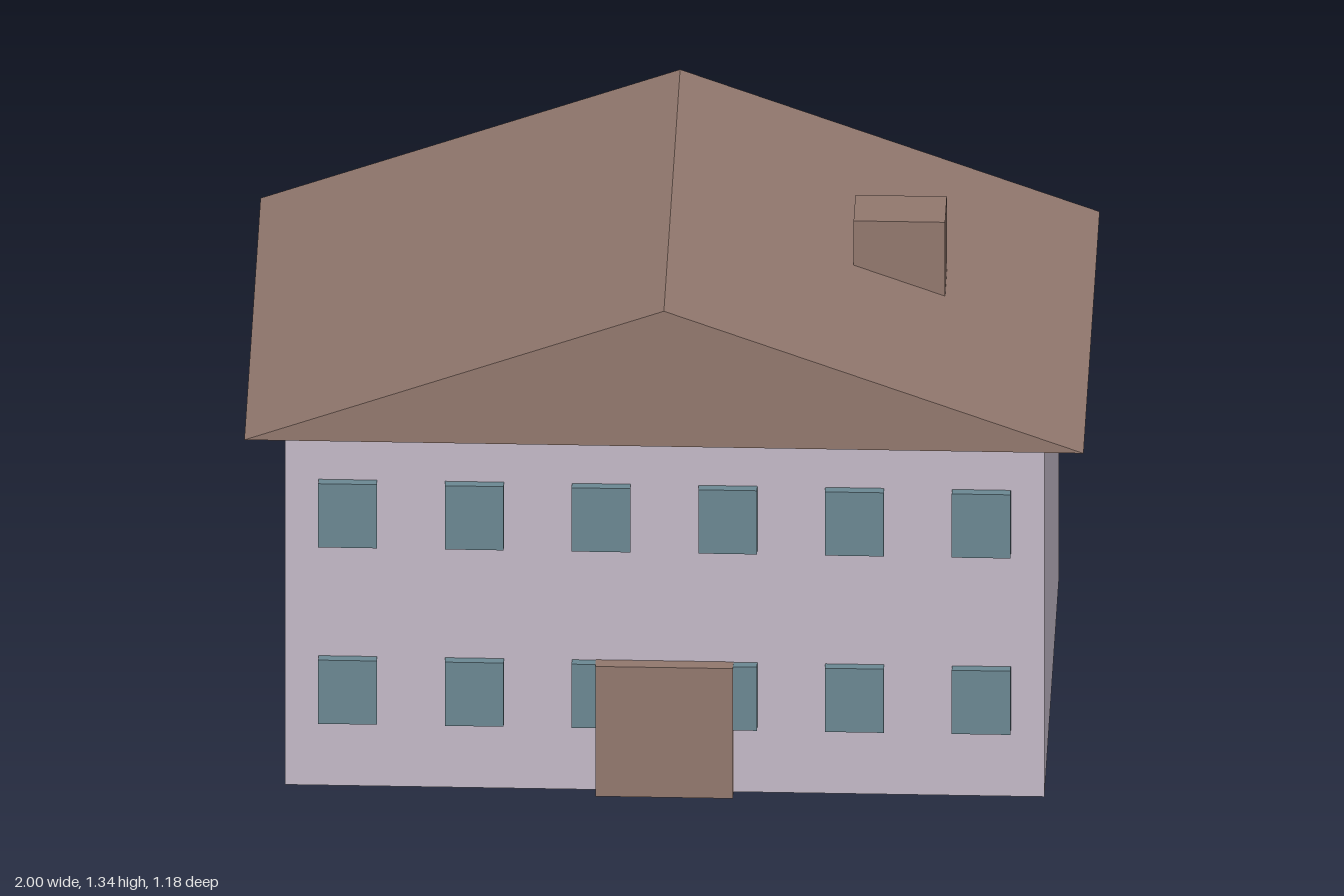
import * as THREE from 'three';

export function createModel() {
  const house = new THREE.Group();
  house.name = 'house';

  const material = (name, color) => {
    const m = new THREE.MeshStandardMaterial({ color });
    m.name = name;
    return m;
  };
  const wall = material('pale lilac wall', 0xc4bac8);
  const brown = material('brown roof and wood', 0x92786e);
  const glass = material('blue grey glass', 0x6c8893);

  // Box given by its lower and upper limits on each axis
  const box = (name, mat, [x0, x1], [y0, y1], [z0, z1], parent = house) => {
    const mesh = new THREE.Mesh(new THREE.BoxGeometry(x1 - x0, y1 - y0, z1 - z0), mat);
    mesh.position.set((x0 + x1) / 2, (y0 + y1) / 2, (z0 + z1) / 2);
    mesh.name = name;
    parent.add(mesh);
    return mesh;
  };

  const wallZ = 0.535, eavesY = 0.97, roofZ = 0.588;
  box('walls', wall, [-0.905, 0.905], [0, eavesY], [-wallZ, wallZ]);

  // Solid gable roof overhanging the walls
  const gable = new THREE.Shape();
  gable.moveTo(-1, eavesY);
  gable.lineTo(1, eavesY);
  gable.lineTo(0, 1.34);
  gable.closePath();
  const roofGeometry = new THREE.ExtrudeGeometry(gable, { depth: 2 * roofZ, bevelEnabled: false });
  roofGeometry.translate(0, 0, -roofZ);
  const roof = new THREE.Mesh(roofGeometry, brown);
  roof.name = 'roof';
  house.add(roof);

  box('chimney', brown, [0.435, 0.653], [1.0, 1.30], [-0.063, 0.063]);
  box('door', brown, [-0.164, 0.164], [0, 0.355], [wallZ - 0.01, 0.568]);

  // Two rows of six windows on the front and back
  const windows = new THREE.Group();
  windows.name = 'windows';
  house.add(windows);
  for (const side of [1, -1]) {
    const z = side > 0 ? [wallZ - 0.01, 0.557] : [-0.557, -wallZ + 0.01];
    for (const y of [0.18, 0.662]) {
      for (let i = 0; i < 6; i++) {
        const x = (i - 2.5) * 0.302;
        box(side > 0 ? 'frontWindow' : 'backWindow', glass, [x - 0.07, x + 0.07], [y, y + 0.174], z, windows);
      }
    }
  }

  return house;
}
